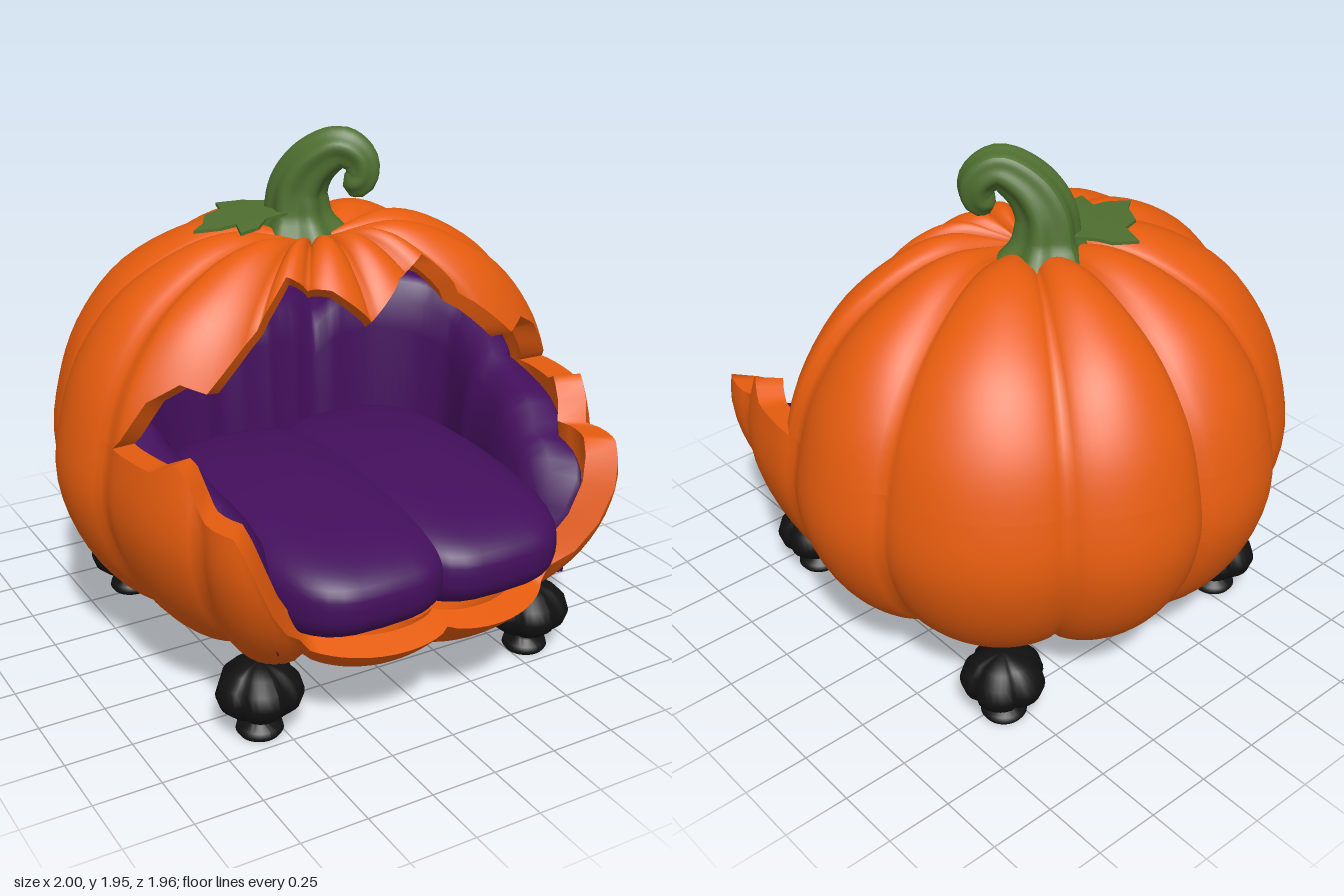
import * as THREE from 'three';
import { mergeGeometries } from 'three/addons/utils/BufferGeometryUtils.js';

const mat = (name, color, side = THREE.FrontSide) => {
  const m = new THREE.MeshStandardMaterial({ color, side });
  m.name = name;
  return m;
};
const { abs, sin, cos, sqrt, max, PI, sign } = Math;
const DEG = PI / 180;

// Surface patch: fn(u, v) -> [x, y, z] with u, v in 0..1
function patch(fn, nu, nv, flip = false) {
  const pos = [], idx = [];
  for (let j = 0; j <= nv; j++)
    for (let i = 0; i <= nu; i++) pos.push(...fn(i / nu, j / nv));
  for (let j = 0; j < nv; j++)
    for (let i = 0; i < nu; i++) {
      const a = j * (nu + 1) + i, b = a + 1, c = a + nu + 1, d = c + 1;
      if (flip) idx.push(a, c, b, b, c, d);
      else idx.push(a, b, c, b, d, c);
    }
  const g = new THREE.BufferGeometry();
  g.setAttribute('position', new THREE.Float32BufferAttribute(pos, 3));
  g.setIndex(idx);
  g.computeVertexNormals();
  return g;
}

// Piecewise linear lookup in [[x, y], ...]
function lerpTable(table, x) {
  if (x <= table[0][0]) return table[0][1];
  for (let i = 1; i < table.length; i++) {
    const [x0, y0] = table[i - 1], [x1, y1] = table[i];
    if (x <= x1) return y0 + (y1 - y0) * (x - x0) / (x1 - x0);
  }
  return table[table.length - 1][1];
}

// Pumpkin: half profile, rib grooves and the jagged opening, by degrees from the front
const profile = new THREE.SplineCurve([
  [0, .2], [.15, .17], [.35, .145], [.6, .19], [.79, .32], [.93, .52], [1, .76], [.97, 1],
  [.89, 1.22], [.74, 1.42], [.52, 1.56], [.33, 1.61], [.15, 1.58], [0, 1.53],
].map(([r, y]) => new THREE.Vector2(r, y)));
const grooves = [0, 32, 50, 79, 108, 148, 180];
const lowerEdge = [[0, .385], [30, .385], [33, .45], [36, .62], [39, .82], [42, .9], [50, .9],
  [51, .95], [55, 1.06], [62, 1], [75, 1]];
const upperEdge = [[0, 1.38], [20, 1.48], [42, 1.53], [50, 1.4], [58, 1.2], [64, 1.23], [70, 1.17], [75, 1]];

function heightToV(y) {
  let a = .23, b = .79;
  for (let i = 0; i < 24; i++) {
    const m = (a + b) / 2;
    if (profile.getPoint(m).y < y) a = m; else b = m;
  }
  return a;
}
function foldedDeg(t) {
  const d = abs(t) % 360;
  return d > 180 ? 360 - d : d;
}
function ribFactor(d, y) {
  let i = 0;
  while (i < grooves.length - 2 && d > grooves[i + 1]) i++;
  const w = (d - grooves[i]) / (grooves[i + 1] - grooves[i]);
  const depth = y > 1.2 ? .065 + (y - 1.2) * .06 : .065;
  return 1 - depth * (1 - Math.pow(max(0, sin(w * PI)), .65));
}
function shellPoint(t, v, upper, inner) {
  const d = foldedDeg(t), p = profile.getPoint(v);
  const rib = ribFactor(d, p.y);
  // The roof is drawn back and the lower front pushed out
  const front = upper ? 1 - .42 * max(0, 1 - (d / 75) ** 2)
    : 1 + .19 * (1 - THREE.MathUtils.smoothstep(d, 32, 72));
  const r = p.x * front * rib * (inner ? .9 : 1);
  const y = .85 + (p.y - .85) * (1 - (1 - rib) * .7) * (inner ? .94 : 1);
  return [r * sin(t * DEG), y, r * cos(t * DEG)];
}
function shell(upper) {
  const table = upper ? upperEdge : lowerEdge, n = 180;
  const edges = Array.from({ length: n + 1 }, (_, i) =>
    heightToV(lerpTable(table, foldedDeg(-180 + i * 360 / n))));
  const point = (u, v, inner) => {
    const e = edges[Math.round(u * n)];
    return shellPoint(-180 + 360 * u, upper ? e + (1 - e) * v : e * v, upper, inner);
  };
  const rimV = upper ? 0 : 1;
  const rim = (u, w) => {
    const a = point(u, rimV, false), b = point(u, rimV, true);
    return a.map((k, i) => k + (b[i] - k) * w);
  };
  return mergeGeometries([
    patch((u, v) => point(u, v, false), n, 26),
    patch((u, v) => point(u, v, true), n, 20, true),
    patch(rim, n, 1, upper),
  ]);
}

// Padded back and arms wrapping the inside of the shell
const padTop = [[36, .5], [40, .74], [45, .82], [50, .85], [60, .93], [75, .98], [90, 1.08], [100, 1.16],
  [112, 1.21], [125, 1.23], [140, 1.2], [150, 1.12], [158, 1.19], [168, 1.22], [180, 1.225]];
const padInner = [[36, .9], [40, .81], [50, .73], [60, .7], [80, .66], [98, .71], [110, .67],
  [125, .58], [140, .46], [150, .44], [160, .39], [180, .36]];
function padding() {
  return patch((u, v) => {
    const t = 36 + 288 * u, d = foldedDeg(t);
    const top = lerpTable(padTop, d), rin = lerpTable(padInner, d);
    const outer = y => {
      const p = shellPoint(t, heightToV(y), false, false);
      return Math.hypot(p[0], p[2]) * .9;
    };
    const ro = outer(top - .05), mid = (ro + rin) / 2;
    const section = [[outer(.35), .35], [outer(.6), Math.min(.6, top - .1)], [ro, top - .05], [ro - .02, top - .01],
      [mid, top], [rin + .05, top - .02], [rin + .01, top - .08], [rin - .02, top - .2],
      [rin - .04, Math.min(.6, top - .25)], [rin - .04, .35]];
    const k = Math.round(v * 9);
    return [section[k][0] * sin(t * DEG), section[k][1], section[k][0] * cos(t * DEG)];
  }, 120, 9);
}

// Plump half of the seat cushion
function cushion() {
  const g = new THREE.SphereGeometry(1, 40, 28), p = g.attributes.position;
  const puff = (k, e) => sign(k) * Math.pow(abs(k), e);
  for (let i = 0; i < p.count; i++) {
    const x = puff(p.getX(i), .62), y = puff(p.getY(i), .72), z = puff(p.getZ(i), .62);
    p.setXYZ(i, x * .36, y * .2 - max(0, z) * max(0, y) * .05, z * .66);
  }
  g.computeVertexNormals();
  return g;
}

// Ridged stem swept along a curl
function stem() {
  const curve = new THREE.CatmullRomCurve3([
    [.02, 1.5, -.13], [.01, 1.6, -.13], [.01, 1.72, -.12], [.05, 1.82, -.07], [.12, 1.875, 0],
    [.175, 1.83, .045], [.17, 1.76, .05], [.115, 1.735, .02],
  ].map(p => new THREE.Vector3(...p)));
  const n = 40, f = curve.computeFrenetFrames(n);
  const radius = [[0, .19], [.08, .155], [.18, .115], [.35, .1], [.55, .085], [.75, .07], [.93, .058], [.98, .04], [1, 0]];
  return patch((u, v) => {
    const k = Math.round(v * n), a = u * 2 * PI;
    const r = lerpTable(radius, v) * (1 + .1 * cos(6 * a) * (1 - .5 * v));
    return curve.getPointAt(v).addScaledVector(f.normals[k], r * cos(a))
      .addScaledVector(f.binormals[k], r * sin(a)).toArray();
  }, 48, n);
}

// Three-pointed leaf, drawn in plan and bent down over the top
function leaf() {
  const s = new THREE.Shape([[0, -.2], [-.09, -.28], [-.12, -.33], [-.21, -.37], [-.24, -.27], [-.32, -.24],
    [-.37, -.15], [-.43, -.1], [-.34, -.06], [-.28, -.06], [-.31, .035], [-.23, .02], [-.17, -.04],
    [0, -.06]].map(([x, z]) => new THREE.Vector2(x, -z)));
  const g = new THREE.ExtrudeGeometry(s, { depth: .012, bevelEnabled: false });
  g.rotateX(-PI / 2);
  const p = g.attributes.position;
  for (let i = 0; i < p.count; i++) {
    const r = Math.hypot(p.getX(i), p.getZ(i) + .12);
    p.setY(i, p.getY(i) + 1.645 - .1 * r);
  }
  g.computeVertexNormals();
  return g;
}

// Lobed ball foot on a small round pad
function foot() {
  const pts = [[0, 0], [.075, 0], [.085, .015], [.08, .035], [.05, .05], [.055, .07], [.1, .09], [.14, .125],
    [.155, .17], [.14, .22], [.1, .26], [.05, .28], [0, .285]].map(([x, y]) => new THREE.Vector2(x, y));
  const g = new THREE.LatheGeometry(pts, 40), p = g.attributes.position;
  for (let i = 0; i < p.count; i++) {
    const x = p.getX(i), z = p.getZ(i), y = p.getY(i);
    const k = y > .06 ? .86 + .17 * sqrt(abs(sin(2.5 * Math.atan2(z, x)))) : 1;
    p.setXYZ(i, x * k, y, z * k);
  }
  g.computeVertexNormals();
  return g;
}

export function createModel() {
  const orange = mat('pumpkin orange', 0xe65c0e), purple = mat('cushion purple', 0x430f5c, THREE.DoubleSide);
  const green = mat('stem green', 0x4f6f30, THREE.DoubleSide), black = mat('foot black', 0x111111);
  const model = new THREE.Group();
  model.name = 'pumpkinSeat';
  const add = (name, geo, material, x = 0, y = 0, z = 0) => {
    const m = new THREE.Mesh(geo, material);
    m.name = name;
    m.position.set(x, y, z);
    model.add(m);
  };
  add('lowerShell', shell(false), orange);
  add('upperShell', shell(true), orange);
  add('backAndArms', padding(), purple);
  add('stem', stem(), green);
  add('leaf', leaf(), green);
  const cushionGeo = cushion(), footGeo = foot();
  for (const s of [1, -1]) {
    const side = s > 0 ? 'left' : 'right';
    add(side + 'SeatCushion', cushionGeo, purple, s * .24, .58, .31);
    add(side + 'FrontFoot', footGeo, black, s * .575, 0, .64);
    add(side + 'BackFoot', footGeo, black, s * .56, 0, -.53);
  }
  return model;
}
